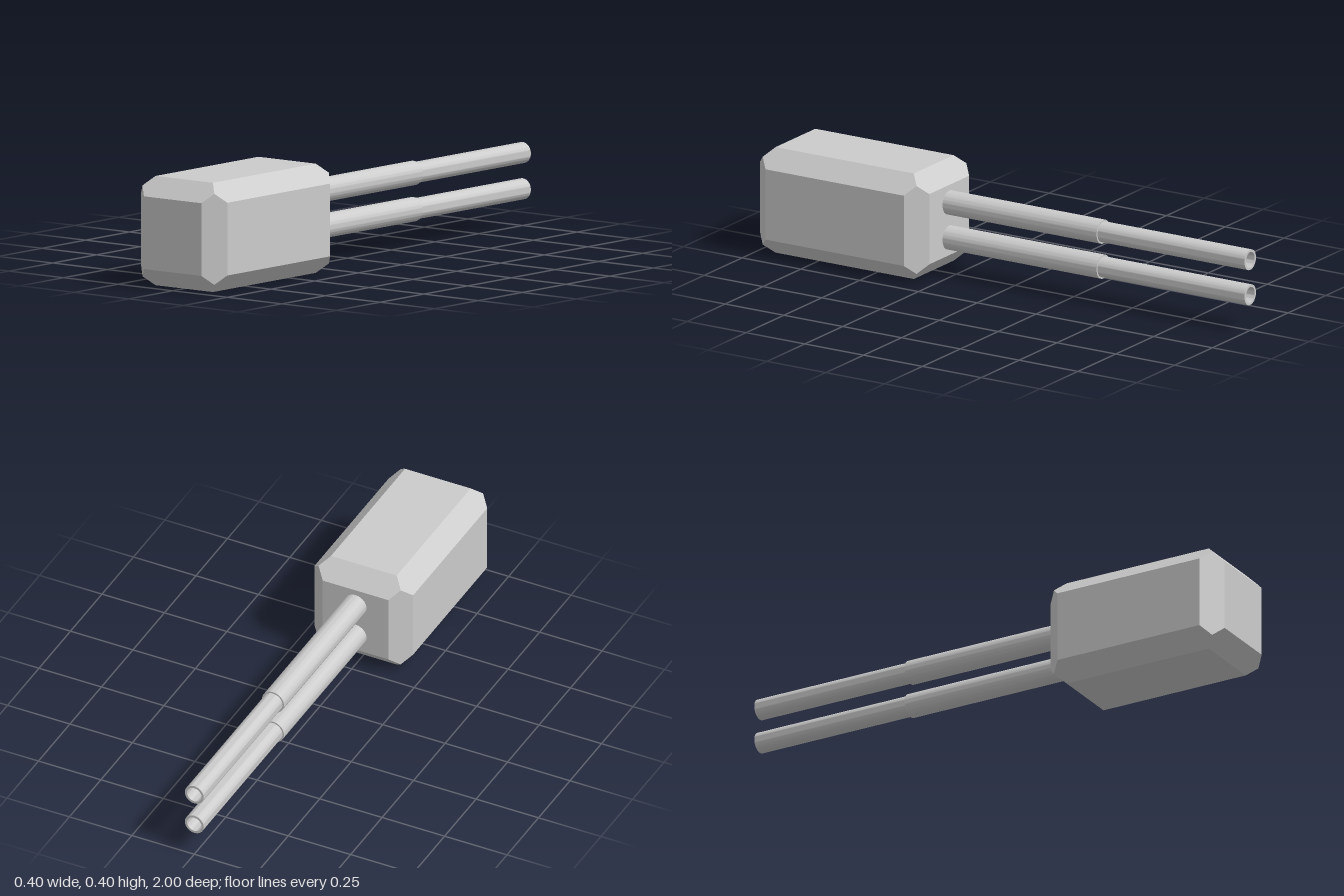
import * as THREE from 'three';
import { toCreasedNormals } from 'three/addons/utils/BufferGeometryUtils.js';
import { ConvexGeometry } from 'three/addons/geometries/ConvexGeometry.js';

const HALF = 0.1975, CHAMFER = 0.066, BACK = 0.28, FRONT = 1;

// Box with all twelve edges bevelled; the three bevels at a corner meet in one point
function chamferedBox(hx, hy, hz, c) {
  const points = [];
  for (const sx of [-1, 1]) for (const sy of [-1, 1]) for (const sz of [-1, 1]) {
    const add = (a, b, d) => points.push(new THREE.Vector3(sx * (hx - a), sy * (hy - b), sz * (hz - d)));
    add(0, c, c);
    add(c, 0, c);
    add(c, c, 0);
    add(c / 2, c / 2, c / 2);
  }
  return new ConvexGeometry(points);
}

// Surface of revolution from [radius, z] pairs, running towards the back
function turned(profile) {
  const points = profile.map(([r, z]) => new THREE.Vector2(r, -z));
  const geometry = new THREE.LatheGeometry(points, 48).rotateX(-Math.PI / 2);
  return toCreasedNormals(geometry, Math.PI / 6);
}

export function createModel() {
  const model = new THREE.Group();
  const grey = new THREE.MeshStandardMaterial({ color: 0xcccccc });
  const add = (parent, name, geometry) => {
    const mesh = new THREE.Mesh(geometry, grey);
    mesh.name = name;
    parent.add(mesh);
    return mesh;
  };

  // Bevelled block at the front
  const body = add(model, 'body', chamferedBox(HALF, HALF, (FRONT - BACK) / 2, CHAMFER));
  body.position.set(0, HALF, (FRONT + BACK) / 2);

  // Two stacked leads: a wider sleeve, then a hollow tube open at the back
  const sleeve = turned([[0.044, BACK], [0.044, -0.375], [0.036, -0.375]]);
  const tube = turned([[0.038, -0.37], [0.038, -1], [0.029, -1], [0.029, BACK]]);
  for (const [name, y] of [['upperLead', 0.264], ['lowerLead', 0.133]]) {
    const lead = new THREE.Group();
    lead.name = name;
    lead.position.y = y;
    add(lead, 'sleeve', sleeve);
    add(lead, 'tube', tube);
    model.add(lead);
  }
  return model;
}
